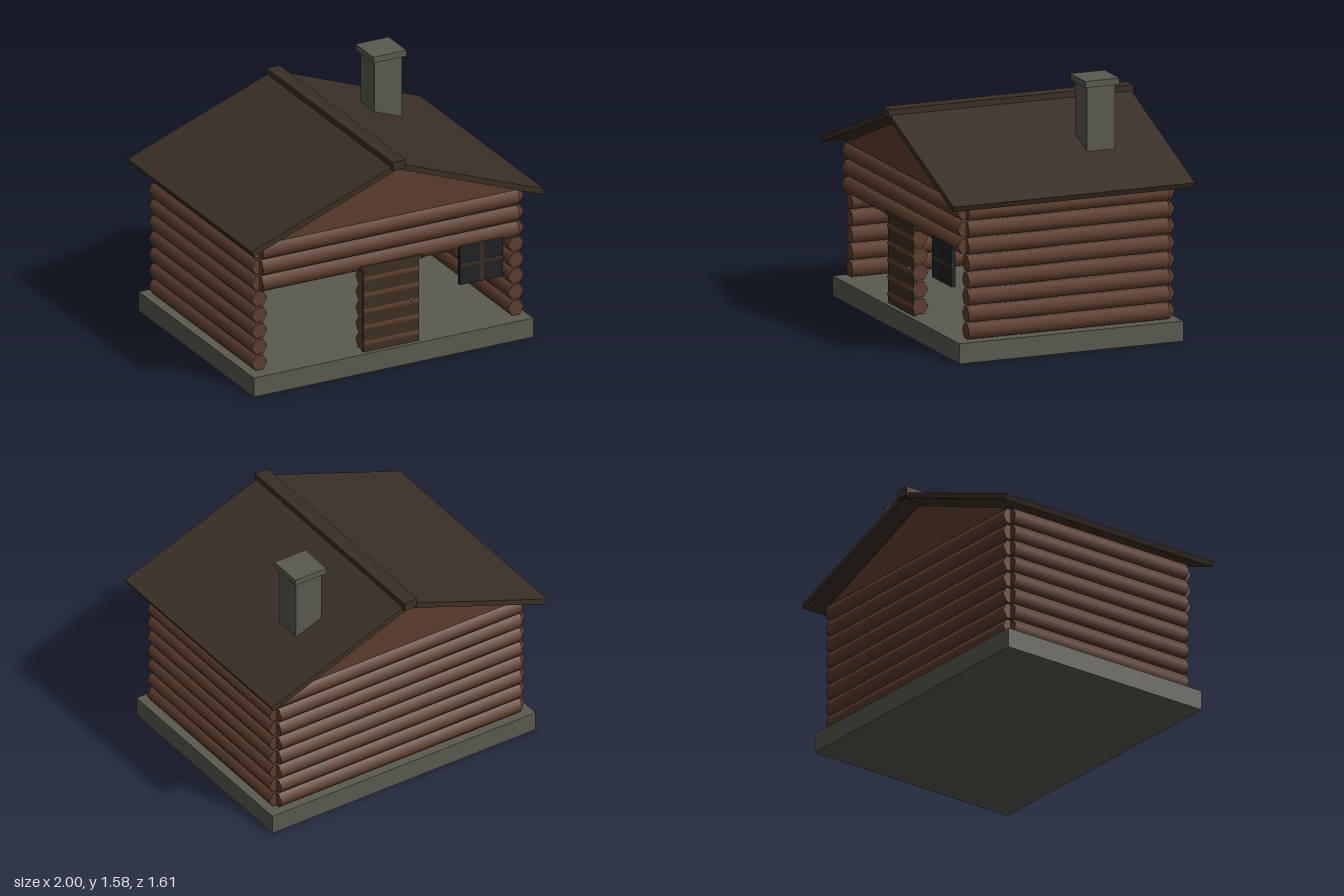
import * as THREE from 'three';

const material = (name, color) => {
  const m = new THREE.MeshStandardMaterial({ color });
  m.name = name;
  return m;
};

export function createModel() {
  const cabin = new THREE.Group();
  cabin.name = 'logCabin';

  const wood = material('log brown', 0x5c3d2e);
  const dark = material('roof brown', 0x3a2f25);
  const doorWood = material('door brown', 0x3d3022);
  const stone = material('stone grey', 0x5a5a50);
  const glass = material('window black', 0x1f2224);
  const metal = material('handle grey', 0x77706a);

  const add = (name, geometry, mat, parent = cabin) => {
    const mesh = new THREE.Mesh(geometry, mat);
    mesh.name = name;
    parent.add(mesh);
    return mesh;
  };
  // Box given by its lower and upper limits on each axis
  const box = (name, [x0, x1], [y0, y1], [z0, z1], mat, parent) => {
    const g = new THREE.BoxGeometry(x1 - x0, y1 - y0, z1 - z0);
    g.translate((x0 + x1) / 2, (y0 + y1) / 2, (z0 + z1) / 2);
    return add(name, g, mat, parent);
  };
  // Outline in x and y, extruded along z from z0 to z1
  const prism = (name, points, z0, z1, mat) => {
    const shape = new THREE.Shape(points.map(([x, y]) => new THREE.Vector2(x, y)));
    const g = new THREE.ExtrudeGeometry(shape, { depth: z1 - z0, bevelEnabled: false });
    g.translate(0, 0, z0);
    return add(name, g, mat);
  };

  box('foundation', [-0.955, 0.955], [0, 0.125], [-0.735, 0.735], stone);

  // Six-sided logs, lying with a flat on top
  const wallX = 0.876, wallZ = 0.66, radius = 0.0535;
  const logAlongX = (length) =>
    new THREE.CylinderGeometry(radius, radius, length, 6).rotateZ(Math.PI / 2);
  const longLog = logAlongX(wallX * 2);
  const doorLog = logAlongX(0.38);
  const sideLog = logAlongX(wallZ * 2).rotateY(Math.PI / 2);

  const walls = new THREE.Group();
  walls.name = 'logWalls';
  cabin.add(walls);
  for (let row = 0; row < 8; row++) {
    const y = 0.18 + row * 0.105;
    add('backLog', longLog, wood, walls).position.set(0, y, -wallZ);
    // Front is open below the top three logs, except behind the door
    add('frontLog', row < 5 ? doorLog : longLog, wood, walls).position.set(0, y, wallZ);
    for (const side of [-1, 1]) {
      add('sideLog', sideLog, wood, walls).position.set(side * wallX, y, 0);
    }
  }

  // Gable ends
  for (const side of [-1, 1]) {
    const z = side * wallZ;
    prism('gable', [[-0.88, 0.965], [0.88, 0.965], [0, 1.305]], z - 0.02, z + 0.02, wood);
  }

  // Roof slopes and ridge cap
  for (const s of [-1, 1]) {
    prism('roofSlope',
      [[0, 1.324], [s * 0.986, 0.953], [s, 0.986], [0, 1.361]], -0.793, 0.793, dark);
  }
  box('ridgeCap', [-0.046, 0.046], [1.325, 1.381], [-0.805, 0.805], dark);

  // Chimney
  box('chimneyStack', [0.405, 0.59], [1.06, 1.54], [-0.447, -0.263], stone);
  box('chimneyCap', [0.385, 0.61], [1.54, 1.58], [-0.468, -0.242], stone);

  // Door, with the logs showing through as bands
  box('door', [-0.19, 0.19], [0.125, 0.675], [0.685, 0.705], doorWood);
  box('doorLintel', [-0.212, 0.212], [0.665, 0.69], [0.68, 0.712], doorWood);
  const knob = add('doorHandle', new THREE.SphereGeometry(0.01, 8, 6), metal);
  knob.position.set(0.135, 0.41, 0.708);

  // Window with crossing bars
  box('windowPane', [0.47, 0.765], [0.43, 0.687], [0.68, 0.705], glass);
  box('windowUpright', [0.605, 0.63], [0.43, 0.687], [0.678, 0.71], dark);
  box('windowCrossbar', [0.47, 0.765], [0.547, 0.571], [0.679, 0.708], dark);

  return cabin;
}
